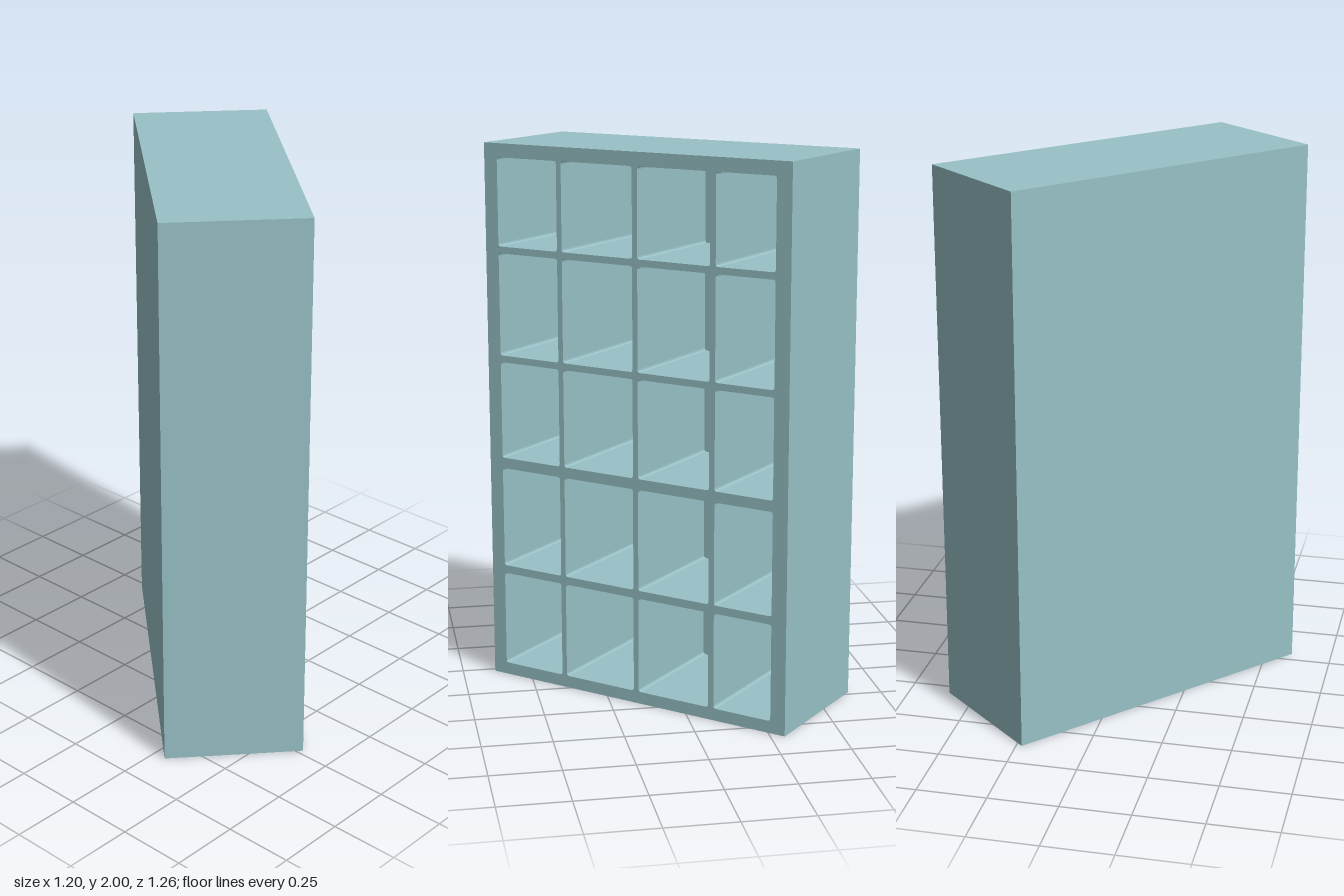
import * as THREE from 'three';

const WIDTH = 1.246, HEIGHT = 2, DEPTH = 0.496, BACK = 0.03;
const TURN = 0.842; // the cabinet stands turned about y

// left/right edges of the columns and bottom/top edges of the rows
const COLUMNS = [[-0.568, -0.313], [-0.293, 0.001], [0.022, 0.313], [0.335, 0.565]];
const ROWS = [[0.045, 0.4], [0.43, 0.805], [0.845, 1.205], [1.23, 1.605], [1.63, 1.95]];

// rectangular opening with slightly softened corners
function opening(x0, x1, y0, y1, r = 0.01) {
  const p = new THREE.Path();
  p.moveTo(x0 + r, y0);
  p.lineTo(x1 - r, y0);
  p.quadraticCurveTo(x1, y0, x1, y0 + r);
  p.lineTo(x1, y1 - r);
  p.quadraticCurveTo(x1, y1, x1 - r, y1);
  p.lineTo(x0 + r, y1);
  p.quadraticCurveTo(x0, y1, x0, y1 - r);
  p.lineTo(x0, y0 + r);
  p.quadraticCurveTo(x0, y0, x0 + r, y0);
  return p;
}

export function createModel() {
  const model = new THREE.Group();
  model.name = 'cubbyShelf';
  const material = new THREE.MeshStandardMaterial({ color: 0x98c1c6 });

  // outer walls, shelves and dividers in one pierced block
  const outline = new THREE.Shape();
  outline.moveTo(-WIDTH / 2, 0);
  outline.lineTo(WIDTH / 2, 0);
  outline.lineTo(WIDTH / 2, HEIGHT);
  outline.lineTo(-WIDTH / 2, HEIGHT);
  outline.closePath();
  for (const [x0, x1] of COLUMNS)
    for (const [y0, y1] of ROWS) outline.holes.push(opening(x0, x1, y0, y1));

  const frame = new THREE.Mesh(
    new THREE.ExtrudeGeometry(outline, { depth: DEPTH - BACK, bevelEnabled: false, curveSegments: 3 }),
    material
  );
  frame.name = 'shelfGrid';
  frame.position.z = -DEPTH / 2 + BACK;

  // closed back
  const back = new THREE.Mesh(new THREE.BoxGeometry(WIDTH, HEIGHT, BACK), material);
  back.name = 'backPanel';
  back.position.set(0, HEIGHT / 2, -DEPTH / 2 + BACK / 2);

  const cabinet = new THREE.Group();
  cabinet.name = 'cabinet';
  cabinet.rotation.y = TURN;
  cabinet.add(frame, back);
  model.add(cabinet);
  return model;
}
